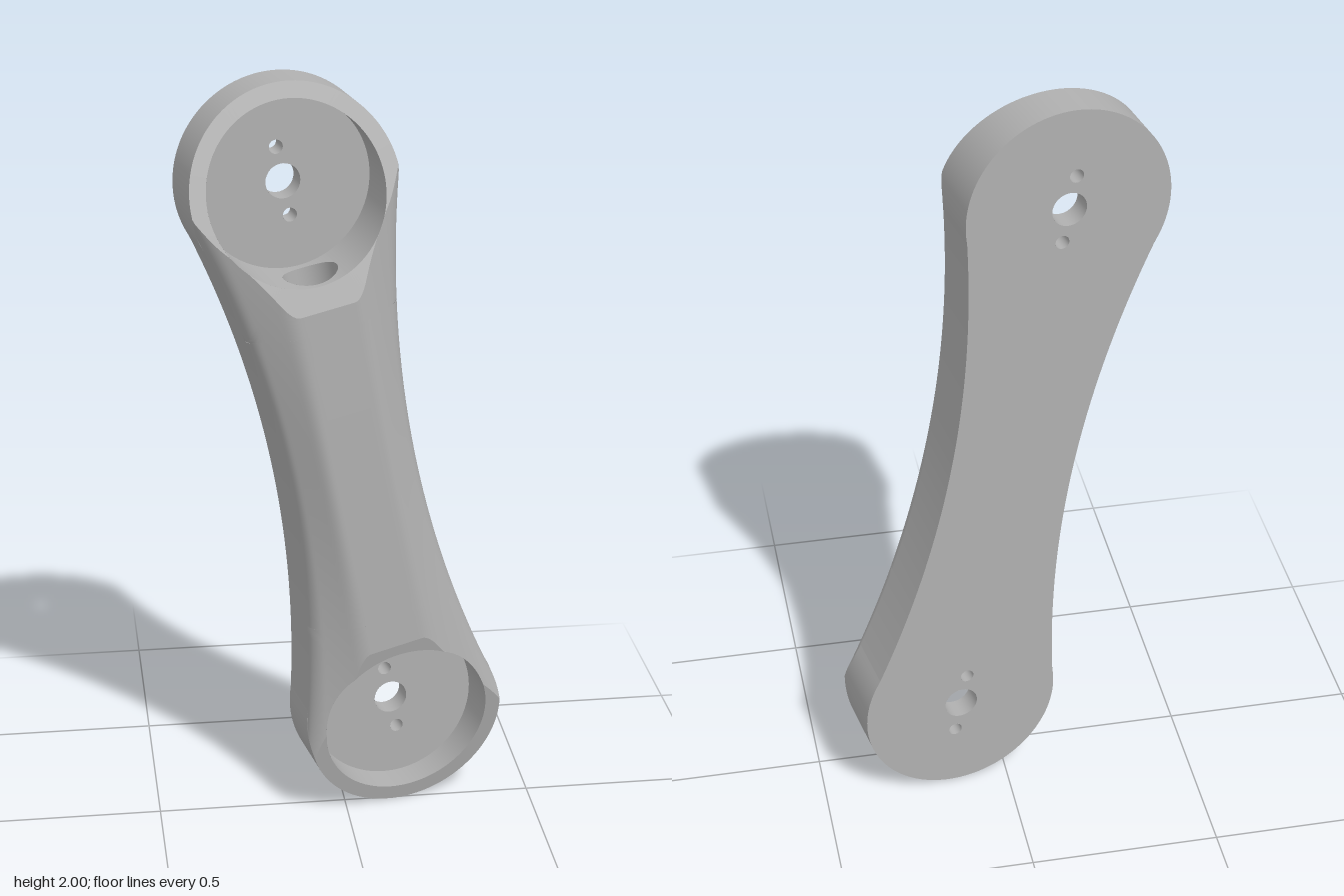
import * as THREE from 'three';

const BACK = -0.111, FLOOR = -0.05, FRONT = 0.15; // depths across the plate
const C = 0.748, R = 0.266, CUP = 0.225;          // end centre distance, outer and cup radius
const JOINT = -0.095, SHOULDER = -0.34;           // where the sides leave the disc / shoulders end
const BORE = 0.07, BORE_W = 0.045;

const metal = new THREE.MeshStandardMaterial({ color: 0xb0b0b0, side: THREE.DoubleSide });
metal.name = 'plainGrey';

// half width of the waisted arm at distance v from the middle
const halfWidth = (v) => 0.17 + (v * v) / 5.4;

// front height of the arm: flat centre, sloping shoulders, rounded outer edge
function bodyHeight(u, v) {
  const t = Math.min(1, Math.max(0, (Math.abs(u) - 0.07) / (halfWidth(v) - 0.07)));
  const k = 0.3;
  const slope = (t < k ? (t * t) / (2 * k) : t - k / 2) / (1 - k / 2);
  const g = Math.max(0, (t - 0.8) / 0.2);
  return FRONT - 0.07 * slope - 0.028 * (1 - Math.sqrt(1 - g * g));
}

// surface through rows of [x, y, z] points
function loft(rows) {
  const n = rows[0].length, index = [];
  for (let j = 0; j < rows.length - 1; j++) {
    for (let i = 0; i < n - 1; i++) {
      const a = j * n + i, b = a + n;
      index.push(a, a + 1, b + 1, a, b + 1, b);
    }
  }
  const geo = new THREE.BufferGeometry();
  geo.setAttribute('position', new THREE.Float32BufferAttribute(rows.flat(2), 3));
  geo.setIndex(index);
  geo.computeVertexNormals();
  return geo;
}

function add(group, name, geo) {
  const mesh = new THREE.Mesh(geo, metal);
  mesh.name = name;
  group.add(mesh);
  return mesh;
}

const range = (a, b, n) => Array.from({ length: n + 1 }, (_, i) => a + ((b - a) * i) / n);
const HOLES = [[0, 0.045], [0.09, 0.018], [-0.09, 0.018]]; // offset along the arm, radius

function addHoles(shape, cy) {
  for (const [dy, r] of HOLES) shape.holes.push(new THREE.Path().absarc(0, cy + dy, r, 0, Math.PI * 2, true));
}

function inside(u, s) {
  if (s < SHOULDER) return false;
  return Math.abs(u) <= (s > JOINT ? Math.sqrt(R * R - s * s) : halfWidth(C + s));
}

function bisect(lo, hi, test) {
  for (let i = 0; i < 40; i++) {
    const m = (lo + hi) / 2;
    if (test(m)) lo = m; else hi = m;
  }
  return lo;
}

// one round end with its sloping rim, cup and screw holes; the rim plane is w = p - k * s
function makeEnd(p, k) {
  const end = new THREE.Group();
  const at = (a, r) => [r * Math.sin(a), r * Math.cos(a)];
  const plane = (s) => p - k * s;
  const body = (a, r) => { const [u, s] = at(a, r); return bodyHeight(u, C + s); };
  const gap = (a, r) => body(a, r) - plane(at(a, r)[1]);
  const height = (a, r) => Math.min(body(a, r), plane(at(a, r)[1]));
  const point = (a, r, w) => { const [u, s] = at(a, r); return [u, C + s, w]; };
  const outer = (a) => bisect(0.2, 0.5, (r) => inside(...at(a, r)));
  const crease = (a) => {
    const o = outer(a);
    return gap(a, o) >= 0 ? o : bisect(CUP, o, (r) => gap(a, r) >= 0);
  };

  const joint = Math.atan2(Math.sqrt(R * R - JOINT * JOINT), JOINT);
  const box = Math.atan2(halfWidth(C + SHOULDER), SHOULDER);
  const half = [...range(0, joint, 44), ...range(joint, box, 16).slice(1), ...range(box, Math.PI, 24).slice(1)];
  const angles = [...half.slice(1).reverse().map((a) => -a), ...half];

  // flat sloping rim and the rounded shoulders beyond it
  add(end, 'rim', loft([
    angles.map((a) => point(a, CUP, height(a, CUP))),
    angles.map((a) => point(a, crease(a), height(a, crease(a)))),
  ]));
  add(end, 'shoulder', loft(range(0, 1, 14).map((f) => angles.map((a) => {
    const c = crease(a), r = c + (outer(a) - c) * Math.sin(f * Math.PI / 2);
    return point(a, r, height(a, r));
  }))));

  // outside walls, split at the joints
  for (const [a0, a1, n] of [[-box, -joint, 16], [-joint, joint, 88], [joint, box, 16]]) {
    const arc = range(a0, a1, n);
    add(end, 'outerWall', loft([
      arc.map((a) => point(a, outer(a), BACK)),
      arc.map((a) => point(a, outer(a), height(a, outer(a)))),
    ]));
  }

  // cup wall, left open where the bore enters
  const b = Math.asin(BORE / CUP);
  const wall = (name, arc, low, high) => add(end, name, loft([
    arc.map((a) => point(a, CUP, high(a))),
    arc.map((a) => point(a, CUP, low(a))),
  ]));
  const top = (a) => height(a, CUP);
  const boreEdge = (a) => Math.sqrt(Math.max(0, BORE ** 2 - (CUP * Math.sin(a)) ** 2));
  const mouth = range(-Math.PI / 2, Math.PI / 2, 32).map((t) => Math.PI + Math.asin((BORE / CUP) * Math.sin(t)));
  wall('cupWall', range(b - Math.PI, Math.PI - b, 96), () => FLOOR, top);
  wall('cupWallBelowBore', mouth, () => FLOOR, (a) => BORE_W - boreEdge(a));
  wall('cupWallAboveBore', mouth, (a) => BORE_W + boreEdge(a), top);

  // cup floor and screw holes
  const disc = new THREE.Shape().absarc(0, C, CUP, 0, Math.PI * 2);
  addHoles(disc, C);
  add(end, 'cupFloor', new THREE.ShapeGeometry(disc, 48)).position.z = FLOOR;
  for (const [dy, r] of HOLES) {
    const hole = new THREE.CylinderGeometry(r, r, FLOOR - BACK, 32, 1, true).rotateX(Math.PI / 2);
    add(end, 'screwHole', hole).position.set(0, C + dy, (FLOOR + BACK) / 2);
  }
  return end;
}

export function createModel() {
  const model = new THREE.Group();
  model.name = 'linkArm';

  const upper = makeEnd(0.074, 0.267);
  upper.name = 'upperEnd';
  const lower = makeEnd(0.09, 0.235);
  lower.name = 'lowerEnd';
  lower.rotation.z = Math.PI;

  // middle of the arm
  const arm = new THREE.Group();
  arm.name = 'arm';
  const V = C + SHOULDER, rows = range(-V, V, 32);
  add(arm, 'armFront', loft(rows.map((v) => range(-1, 1, 56).map((f) => {
    const u = halfWidth(v) * Math.sin(f * Math.PI / 2);
    return [u, v, bodyHeight(u, v)];
  }))));
  for (const side of [-1, 1]) {
    add(arm, 'armSide', loft(rows.map((v) => {
      const u = side * halfWidth(v);
      return [[u, v, BACK], [u, v, bodyHeight(u, v)]];
    })));
  }

  // bore joining the two cups
  const ring = range(0, Math.PI * 2, 48);
  add(arm, 'bore', loft([-1, 1].map((end) => ring.map((t) => {
    const u = BORE * Math.cos(t);
    return [u, end * (C - Math.sqrt(CUP * CUP - u * u)), BORE_W + BORE * Math.sin(t)];
  }))));

  // flat back with all the screw holes
  const start = Math.atan2(JOINT, Math.sqrt(R * R - JOINT * JOINT));
  const edge = range(-C - JOINT, C + JOINT, 48);
  const cap = range(start, Math.PI - start, 88);
  const outline = [
    ...edge.map((v) => [halfWidth(v), v]),
    ...cap.map((a) => [R * Math.cos(a), C + R * Math.sin(a)]),
  ];
  const back = new THREE.Shape([...outline, ...outline.map(([x, y]) => [-x, -y])].map((q) => new THREE.Vector2(...q)));
  addHoles(back, C);
  addHoles(back, -C);
  const plate = add(arm, 'backFace', new THREE.ShapeGeometry(back, 32).rotateY(Math.PI));
  plate.position.z = BACK;

  // lean the arm sideways, then turn it about the upright axis
  const tilt = new THREE.Group();
  tilt.name = 'link';
  tilt.add(arm, upper, lower);
  tilt.rotation.set(0, 0.171, 0.195);
  tilt.position.y = 1;
  model.add(tilt);
  return model;
}
